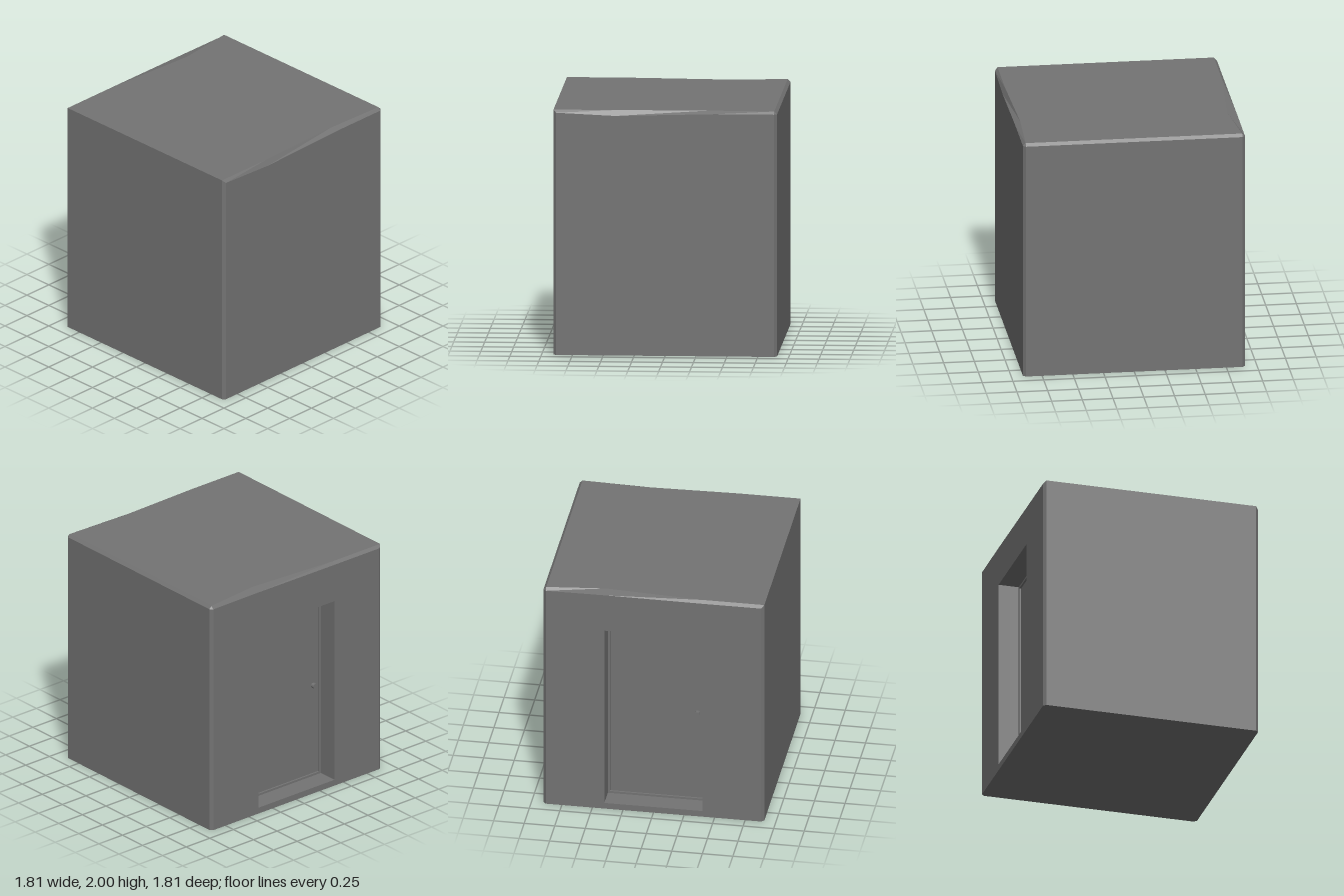
import * as THREE from 'three';

const material = new THREE.MeshStandardMaterial({ color: 0x737373, flatShading: true });

// Flat faced mesh from a list of convex polygons, corners counter-clockwise
function facetMesh(name, polygons) {
  const positions = [];
  for (const p of polygons) {
    for (let i = 1; i < p.length - 1; i++) positions.push(...p[0], ...p[i], ...p[i + 1]);
  }
  const geometry = new THREE.BufferGeometry();
  geometry.setAttribute('position', new THREE.Float32BufferAttribute(positions, 3));
  geometry.computeVertexNormals();
  const mesh = new THREE.Mesh(geometry, material);
  mesh.name = name;
  return mesh;
}

// Quads between two loops of equal length
function band(lower, upper, skip = -1) {
  return lower
    .map((p, i) => {
      const j = (i + 1) % lower.length;
      return [p, lower[j], upper[j], upper[i]];
    })
    .filter((_, i) => i !== skip);
}

const HALF = 0.904, IN = 0.881, TOP = 2, SHOULDER = 1.977;
const DOOR = { half: 0.402, bottom: 0.052, top: 1.652 };

// Walls with chamfered corners, worn top edges and a doorway in the back
function createShell() {
  const d = DOOR.half;
  // [x, z, shoulder y, top x, top z]
  const outline = [
    [-IN, HALF, SHOULDER, -IN, IN],
    [-d, HALF, 1.955, -d, IN],
    [d, HALF, SHOULDER, 0.36, 0.86],
    [IN, HALF, SHOULDER, IN, IN],
    [HALF, IN, SHOULDER, IN, IN],
    [HALF, -IN, SHOULDER, IN, -IN],
    [IN, -HALF, SHOULDER, IN, -IN],
    [d, -HALF, 1.98, d, -0.825],
    [-d, -HALF, SHOULDER, -d, -IN],
    [-IN, -HALF, SHOULDER, -IN, -IN],
    [-HALF, -IN, TOP, -HALF, -IN],
    [-HALF, IN, TOP, -HALF, IN],
  ];
  const base = outline.map(([x, z]) => [x, 0, z]);
  const shoulder = outline.map(([x, z, y]) => [x, y, z]);
  const top = outline.map(([, , , x, z]) => [x, TOP, z]);
  const doorSide = 7;

  const faces = [...band(base, shoulder, doorSide), ...band(shoulder, top)];
  top.forEach((p, i) => faces.push([p, top[(i + 1) % top.length], [0, TOP, 0]]));
  faces.push([...base].reverse());

  // Wall above and below the doorway
  const left = doorSide, right = doorSide + 1;
  const [sillLeft, sillRight, headRight, headLeft] = doorLoop(0, -HALF);
  faces.push([base[left], base[right], sillRight, sillLeft]);
  faces.push([headLeft, headRight, shoulder[right], shoulder[left]]);
  return facetMesh('walls', faces);
}

// Rectangle loop of the doorway, shrunk by inset, at depth z
function doorLoop(inset, z) {
  const x = DOOR.half - inset, y0 = DOOR.bottom + inset, y1 = DOOR.top - inset;
  return [[x, y0, z], [-x, y0, z], [-x, y1, z], [x, y1, z]];
}

function createDoor() {
  const door = new THREE.Group();
  door.name = 'door';
  const frameZ = -0.735, panelZ = -0.72, rim = 0.018;

  // Deep reveal, thin frame and panel
  const outer = doorLoop(0, -HALF), back = doorLoop(0, frameZ);
  const inner = doorLoop(rim, frameZ), panel = doorLoop(rim, panelZ);
  door.add(facetMesh('doorReveal', band(outer, back)));
  door.add(facetMesh('doorFrame', [...band(back, inner), ...band(inner, panel)]));
  door.add(facetMesh('doorPanel', [panel]));

  // Small round knob set against the panel
  const knob = new THREE.Mesh(new THREE.CylinderGeometry(0.022, 0.022, 0.03, 12), material);
  knob.name = 'doorKnob';
  knob.rotation.x = Math.PI / 2;
  knob.position.set(-0.33, 0.855, panelZ - 0.015);
  door.add(knob);
  return door;
}

export function createModel() {
  const model = new THREE.Group();
  model.name = 'blockRoom';
  model.add(createShell(), createDoor());
  return model;
}
